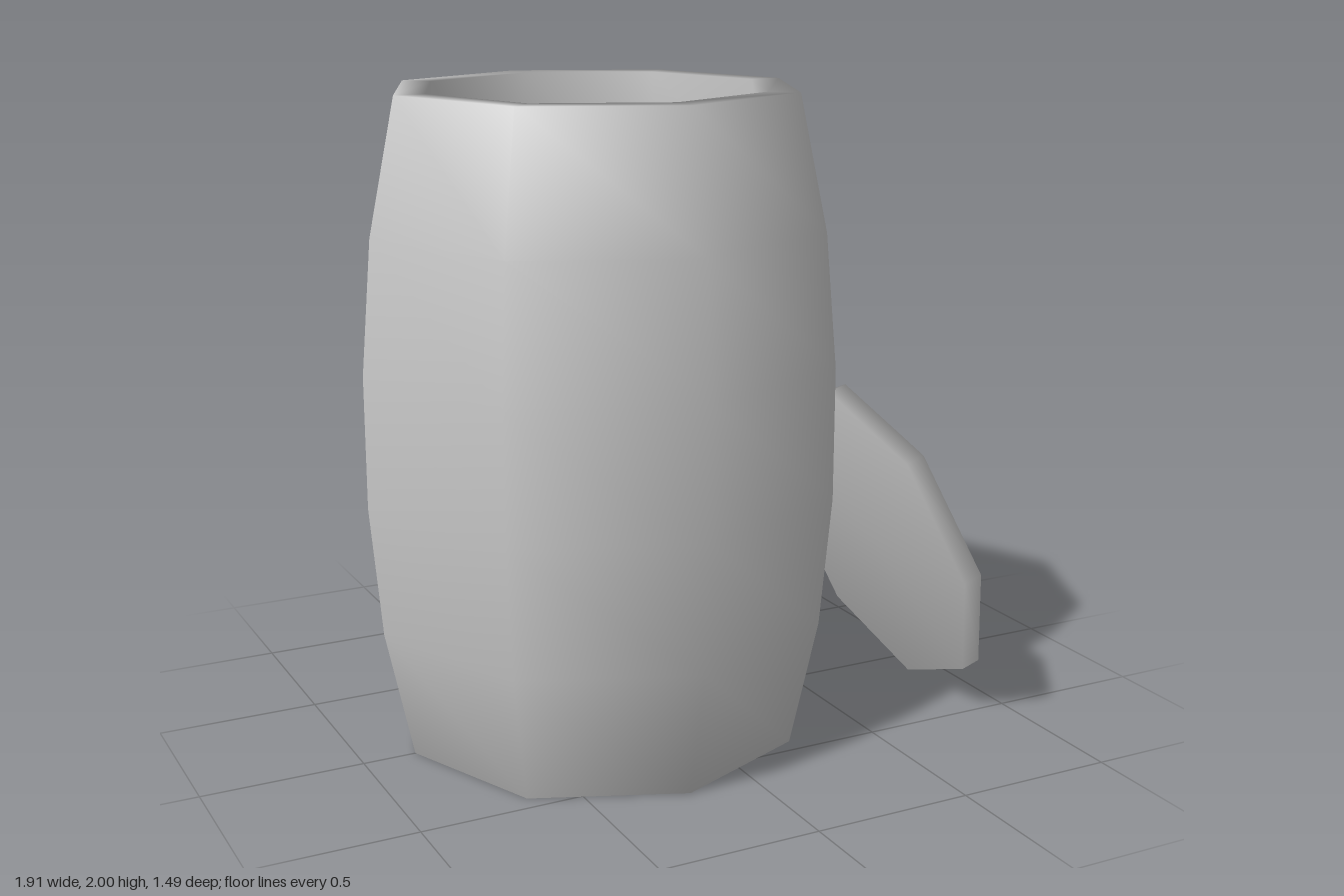
import * as THREE from 'three';
import { mergeVertices } from 'three/addons/utils/BufferGeometryUtils.js';

const SIDES = 8;
const material = new THREE.MeshStandardMaterial({ color: 0xcccccc });

// Welds all seams so that normals flow smoothly over every edge
function smooth(geometry) {
  geometry.deleteAttribute('normal');
  geometry.deleteAttribute('uv');
  const welded = mergeVertices(geometry, 1e-4);
  welded.computeVertexNormals();
  return welded;
}

function part(name, geometry, parent) {
  const mesh = new THREE.Mesh(smooth(geometry), material);
  mesh.name = name;
  parent.add(mesh);
  return mesh;
}

const disc = () => new THREE.CylinderGeometry(0.533, 0.533, 0.064, SIDES);

export function createModel() {
  const model = new THREE.Group();
  model.name = 'openBarrel';

  const barrel = new THREE.Group();
  barrel.name = 'barrel';
  barrel.position.x = -0.21;
  model.add(barrel);

  // Bulging wall: up the outside, down the inside, closed at the bottom rim
  const wall = 0.095;
  const outer = [[0.625, 0], [0.71, 0.4], [0.745, 0.8], [0.745, 1.2], [0.71, 1.6], [0.625, 2]];
  const inner = outer.map(([r, y]) => [r - wall, y]).reverse();
  const profile = [...outer, ...inner, outer[0]].map(([r, y]) => new THREE.Vector2(r, y));
  part('barrelWall', new THREE.LatheGeometry(profile, SIDES), barrel);

  // Bottom board, set a little above the lower rim
  const floor = part('barrelFloor', disc(), barrel);
  floor.position.y = 0.13;
  floor.scale.set(1.05, 1, 1.05);

  // Loose lid leaning against the left side
  const lid = part('lid', disc(), model);
  lid.position.set(0.75, 0.515, 0.12);
  lid.rotation.z = -1.246;

  return model;
}
